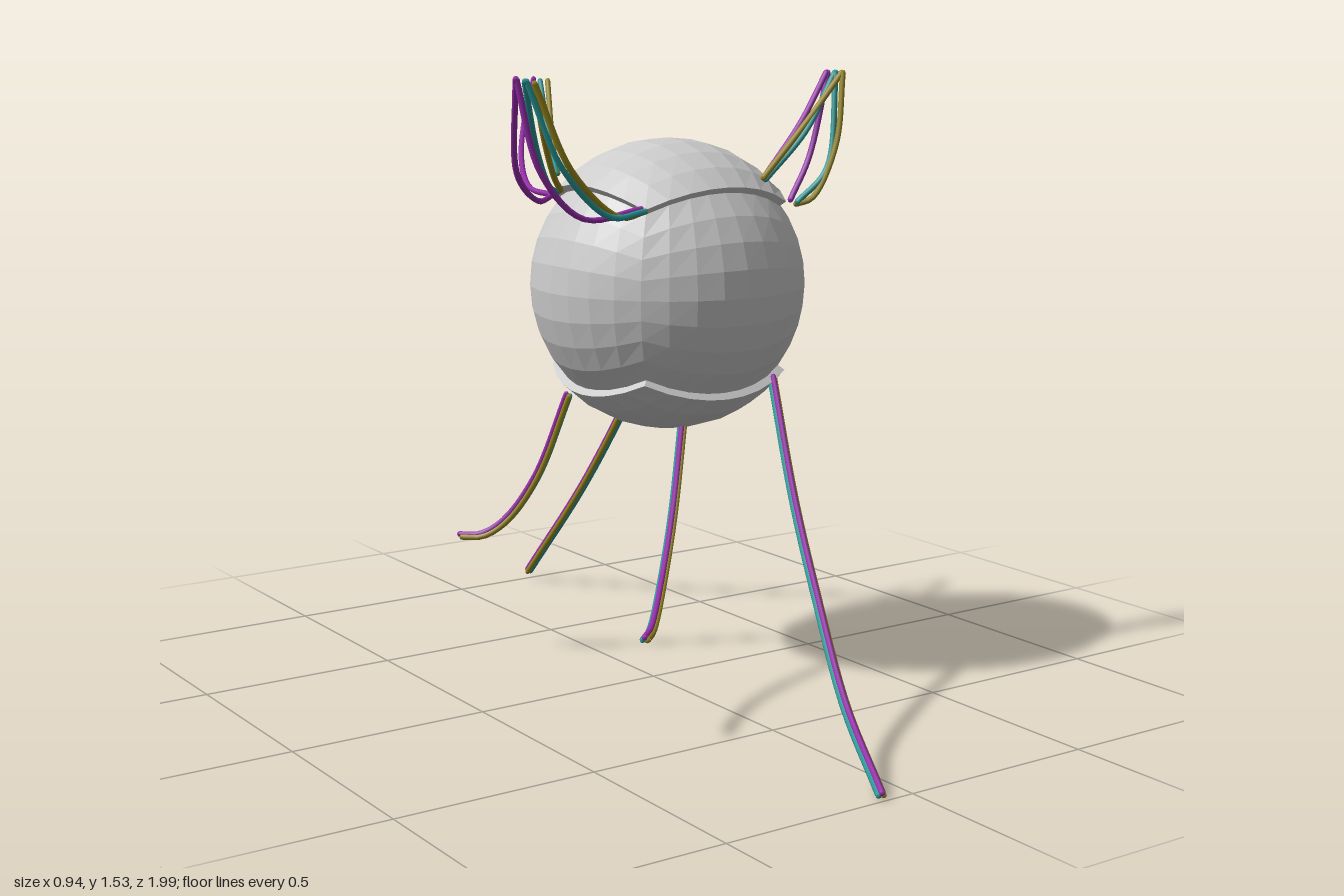
import * as THREE from 'three';

const V = (p) => new THREE.Vector3(...p);
const grey = new THREE.MeshStandardMaterial({ color: 0xcccccc, flatShading: true });
const strandColors = [0x9a2fae, 0x2a9a9a, 0x9a8a20].map(
  (color) => new THREE.MeshStandardMaterial({ color })
);
const CENTRE = [0.083, 1.002, -0.06];
const R = 0.345, CAP_R = 0.365, SEG = 8;

// equal-angle spacing of the grid on a cube face
const warp = (t) => Math.tan((t * Math.PI) / 4);

function reshape(geometry, rule) {
  const pos = geometry.attributes.position, v = new THREE.Vector3();
  for (let i = 0; i < pos.count; i++) {
    rule(v.fromBufferAttribute(pos, i));
    pos.setXYZ(i, v.x, v.y, v.z);
  }
  geometry.computeVertexNormals();
  return geometry;
}

// ball made from an inflated cube
function ballGeometry() {
  return reshape(new THREE.BoxGeometry(2, 2, 2, SEG, SEG, SEG), (v) =>
    v.set(warp(v.x), warp(v.y), warp(v.z)).setLength(R));
}

// one raised face of the inflated cube, with a stepped rim
function capGeometry() {
  return reshape(new THREE.BoxGeometry(2, 2, 2, SEG, 1, SEG), (v) => {
    const radius = v.y > 0 ? CAP_R : R - 0.015;
    v.set(warp(v.x), 1, warp(v.z)).setLength(radius);
  });
}

function addMesh(parent, name, geometry, material) {
  const mesh = new THREE.Mesh(geometry, material);
  mesh.name = name;
  parent.add(mesh);
  return mesh;
}

// thin round strand with closed ends
function addStrand(parent, name, points, radius, material) {
  const curve = new THREE.CatmullRomCurve3(points, false, 'centripetal');
  addMesh(parent, name, new THREE.TubeGeometry(curve, 24, radius, 6), material);
  for (const end of [points[0], points[points.length - 1]]) {
    addMesh(parent, name + 'End', new THREE.SphereGeometry(radius, 6, 4), material)
      .position.copy(end);
  }
}

// leg: three coloured strands lying side by side around one path
function addLeg(parent, name, path) {
  const leg = new THREE.Group();
  leg.name = name;
  const pts = path.map(V);
  const along = pts[pts.length - 1].clone().sub(pts[0]).normalize();
  const side = new THREE.Vector3(0, 1, 0).cross(along).normalize();
  const up = along.clone().cross(side);
  strandColors.forEach((material, i) => {
    const a = Math.PI / 2 + (i * Math.PI * 2) / 3;
    const shift = side.clone().multiplyScalar(Math.cos(a) * 0.0065)
      .addScaledVector(up, Math.sin(a) * 0.0065);
    addStrand(leg, 'legStrand', pts.map((p) => p.clone().add(shift)), 0.0075, material);
  });
  parent.add(leg);
}

// horn: one strand per colour, each with its own sag
function addHorn(parent, name, paths) {
  const horn = new THREE.Group();
  horn.name = name;
  paths.forEach((path, i) => addStrand(horn, 'hornStrand', path.map(V), 0.0075, strandColors[i]));
  parent.add(horn);
}

export function createModel() {
  const model = new THREE.Group();
  model.name = 'leggedBall';

  // body and its two raised caps
  const body = new THREE.Group();
  body.name = 'body';
  body.position.set(...CENTRE);
  addMesh(body, 'ball', ballGeometry(), grey);
  addMesh(body, 'topCap', capGeometry(), grey);
  addMesh(body, 'bottomCap', capGeometry(), grey).rotation.x = Math.PI;
  model.add(body);

  // four legs
  addLeg(model, 'frontLongLeg', [
    [0.25, 0.775, 0.16], [0.17, 0.515, 0.354], [0.1, 0.31, 0.54], [0.02, 0.135, 0.74], [-0.076, 0.016, 0.985]]);
  addLeg(model, 'backLongLeg', [
    [0.3, 0.975, -0.33], [0.283, 0.7, -0.48], [0.252, 0.36, -0.71], [0.217, 0.034, -0.982]]);
  addLeg(model, 'frontShortLeg', [
    [0.075, 0.67, 0.02], [-0.025, 0.465, 0.122], [-0.145, 0.318, 0.245], [-0.25, 0.26, 0.36], [-0.308, 0.26, 0.418]]);
  addLeg(model, 'backShortLeg', [
    [-0.11, 0.71, -0.225], [-0.165, 0.49, -0.295], [-0.225, 0.37, -0.355], [-0.27, 0.33, -0.4], [-0.308, 0.327, -0.438]]);

  // horn on the +x side
  addHorn(model, 'leftHornInner', [
    [[0.225, 1.275, 0.15], [0.345, 1.405, 0.14], [0.435, 1.525, 0.125]],
    [[0.23, 1.27, 0.15], [0.345, 1.385, 0.16], [0.45, 1.525, 0.14]],
    [[0.215, 1.275, 0.16], [0.34, 1.395, 0.155], [0.46, 1.525, 0.155]]]);
  addHorn(model, 'leftHornOuter', [
    [[0.315, 1.215, 0.14], [0.385, 1.32, 0.125], [0.44, 1.525, 0.125]],
    [[0.325, 1.21, 0.155], [0.4, 1.29, 0.175], [0.45, 1.525, 0.145]],
    [[0.325, 1.205, 0.15], [0.36, 1.22, 0.17], [0.425, 1.35, 0.18], [0.46, 1.525, 0.16]]]);

  // horn on the -x side
  addHorn(model, 'rightHornFront', [
    [[-0.13, 1.215, 0.14], [-0.29, 1.2, 0.135], [-0.4, 1.31, 0.13], [-0.463, 1.525, 0.13]],
    [[-0.13, 1.21, 0.155], [-0.24, 1.205, 0.17], [-0.36, 1.32, 0.16], [-0.445, 1.52, 0.145]],
    [[-0.125, 1.21, 0.15], [-0.2, 1.2, 0.155], [-0.33, 1.31, 0.155], [-0.43, 1.515, 0.155]]]);
  addHorn(model, 'rightHornBack', [
    [[-0.16, 1.23, -0.2], [-0.25, 1.22, -0.13], [-0.37, 1.3, -0.03], [-0.465, 1.525, 0.13]],
    [[-0.165, 1.235, -0.18], [-0.24, 1.26, -0.1], [-0.34, 1.36, 0.01], [-0.45, 1.52, 0.145]],
    [[-0.165, 1.24, -0.165], [-0.23, 1.28, -0.09], [-0.33, 1.38, 0.03], [-0.43, 1.515, 0.155]]]);

  // horn at the back
  addHorn(model, 'backHorn', [
    [[-0.16, 1.225, -0.21], [-0.15, 1.235, -0.34], [-0.105, 1.3, -0.455], [-0.055, 1.4, -0.52], [-0.022, 1.5, -0.528]],
    [[-0.1, 1.27, -0.29], [-0.05, 1.345, -0.405], [-0.01, 1.495, -0.515]],
    [[-0.09, 1.27, -0.3], [-0.035, 1.345, -0.415], [0.01, 1.495, -0.51]]]);

  return model;
}
